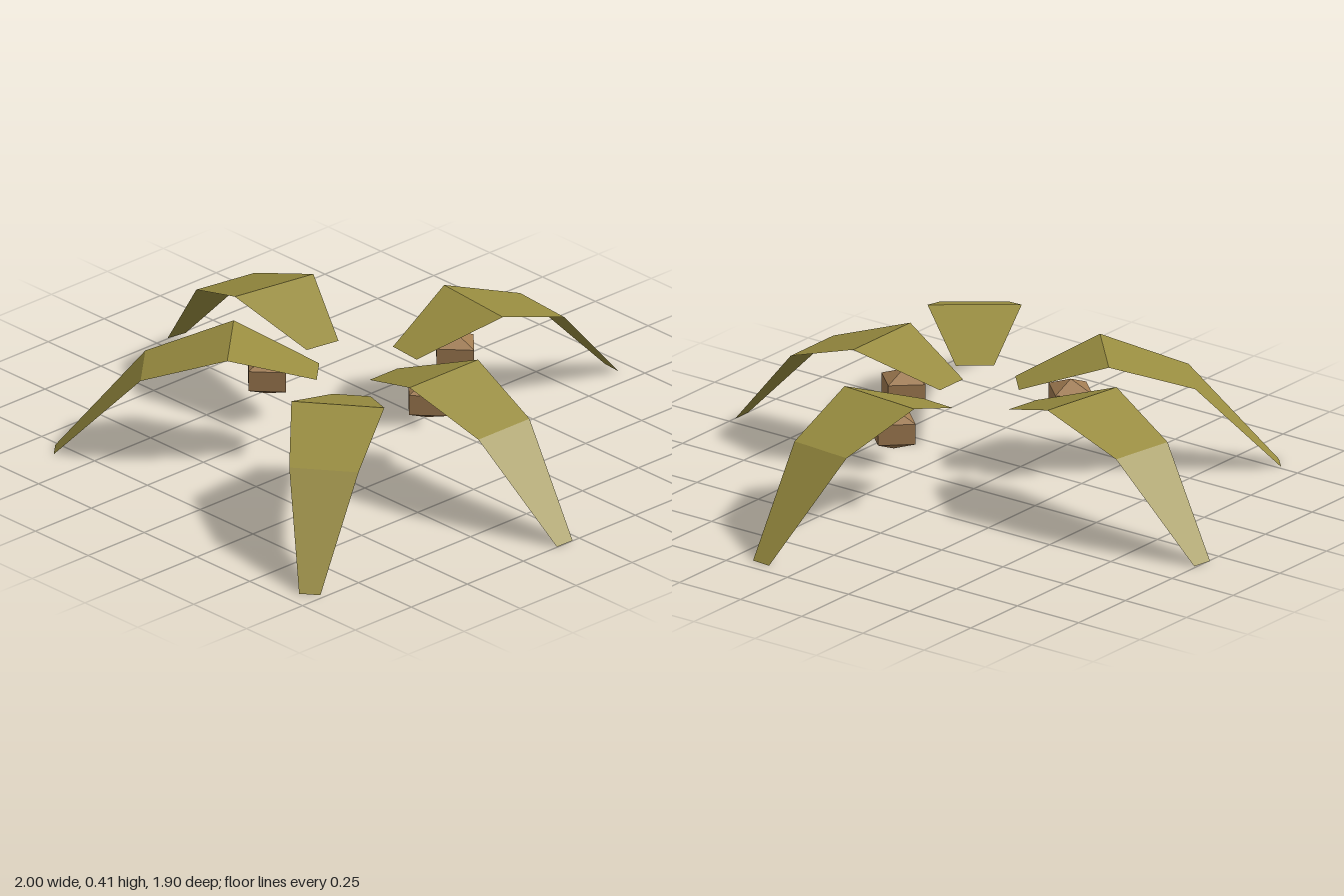
import * as THREE from 'three';

// Frond outline along its length: [distance outward, height, half width]
const SECTIONS = [
  [0, 0.31, 0.062],
  [0.285, 0.412, 0.153],
  [0.57, 0.312, 0.114],
  [0.858, 0, 0.035],
];

// Root centre and tip centre of each frond on the ground plane: [x, z, x, z]
const FRONDS = {
  leftFrond: [0.14, 0.063, 1.0, 0.063],
  frontLeftFrond: [0.183, 0.245, 0.705, 0.925],
  frontRightFrond: [-0.02, 0.205, -0.648, 0.785],
  rightFrond: [-0.152, 0.06, -0.995, -0.085],
  backFrond: [0.073, -0.095, 0.145, -0.948],
};

const NUTS = [[-0.182, 0.28], [0.305, 0.023], [0.115, -0.28]];

// Thin folded leaf strip running along +x
function frondGeometry() {
  const positions = [];
  const indices = [];
  SECTIONS.forEach(([x, y, w], i) => {
    positions.push(x, y, -w, x, y, w);
    if (i > 0) {
      const a = (i - 1) * 2;
      indices.push(a, a + 1, a + 2, a + 1, a + 3, a + 2);
    }
  });
  const indexed = new THREE.BufferGeometry();
  indexed.setAttribute('position', new THREE.Float32BufferAttribute(positions, 3));
  indexed.setIndex(indices);
  const geometry = indexed.toNonIndexed();
  geometry.computeVertexNormals();
  return geometry;
}

export function createModel() {
  const model = new THREE.Group();
  model.name = 'palmCrown';

  const leafGreen = new THREE.MeshStandardMaterial({ color: 0x998d40, flatShading: true, side: THREE.DoubleSide });
  leafGreen.name = 'leafGreen';
  const nutBrown = new THREE.MeshStandardMaterial({ color: 0xa17c52, flatShading: true });
  nutBrown.name = 'nutBrown';

  // Fronds fanned around the crown
  const frond = frondGeometry();
  for (const [name, [rx, rz, tx, tz]] of Object.entries(FRONDS)) {
    const mesh = new THREE.Mesh(frond, leafGreen);
    mesh.name = name;
    mesh.position.set(rx, 0, rz);
    mesh.rotation.y = Math.atan2(rz - tz, tx - rx);
    model.add(mesh);
  }

  // Four-sided coconuts hanging under the fronds
  const nut = new THREE.SphereGeometry(1, 4, 3).scale(0.104, 0.07, 0.095);
  NUTS.forEach(([x, z], i) => {
    const mesh = new THREE.Mesh(nut, nutBrown);
    mesh.name = `coconut${i + 1}`;
    mesh.position.set(x, 0.27, z);
    model.add(mesh);
  });

  return model;
}
